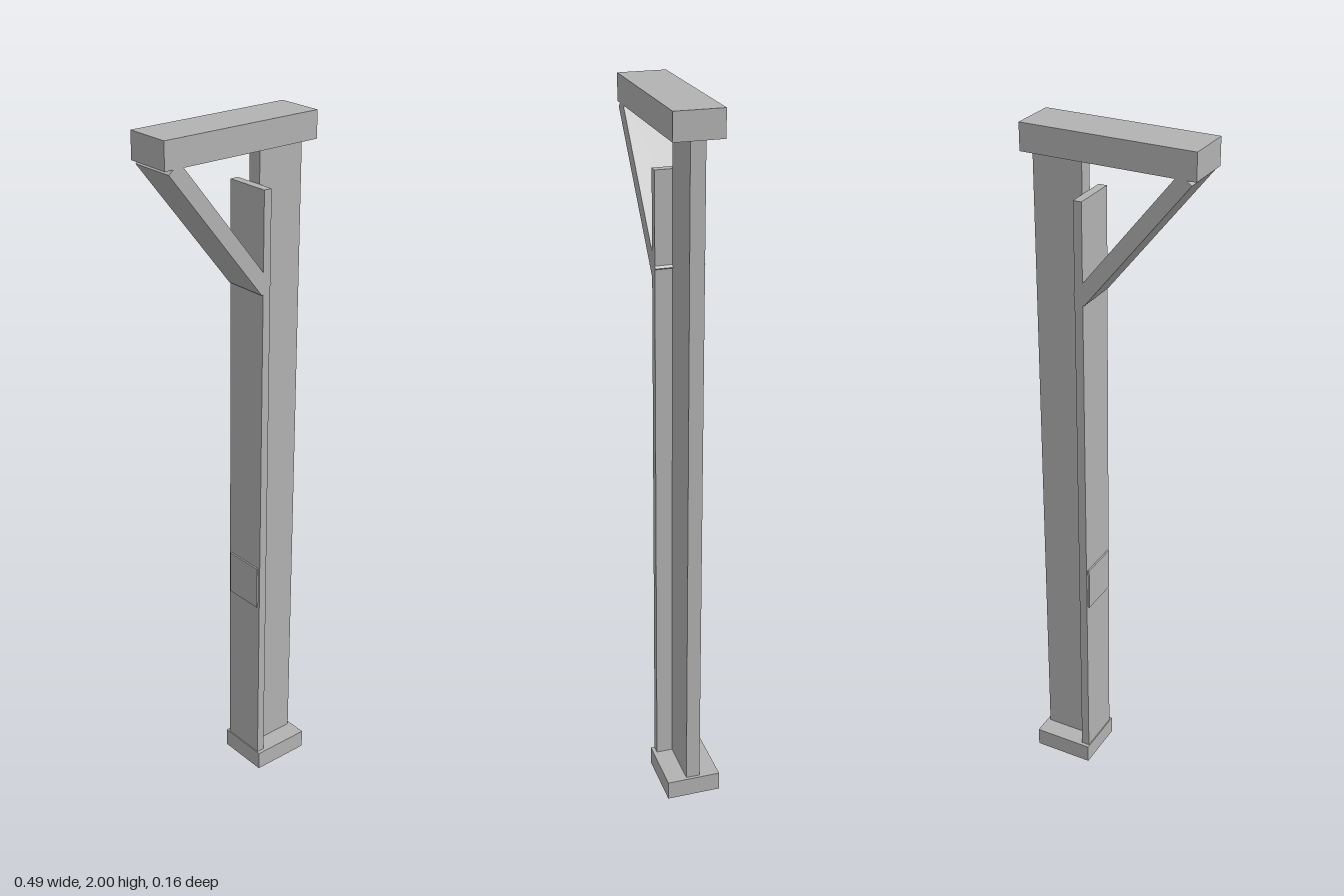
import * as THREE from 'three';

export function createModel() {
  const group = new THREE.Group();
  const paint = new THREE.MeshStandardMaterial({ color: 0xb2b2b2 });
  paint.name = 'light grey';

  // Box from x and y ranges, centred on z = 0
  function block(name, x0, x1, y0, y1, depth) {
    const mesh = new THREE.Mesh(new THREE.BoxGeometry(x1 - x0, y1 - y0, depth), paint);
    mesh.position.set((x0 + x1) / 2, (y0 + y1) / 2, 0);
    mesh.name = name;
    group.add(mesh);
  }

  block('base', 0.066, 0.243, 0, 0.056, 0.156);
  // T-section post: narrow web behind a wide flange
  block('postWeb', 0.093, 0.234, 0.056, 1.926, 0.04);
  block('postFlange', 0.069, 0.093, 0.056, 1.824, 0.134);
  block('coverPlate', 0.064, 0.069, 0.58, 0.71, 0.12);
  block('topBeam', -0.243, 0.243, 1.926, 2, 0.134);

  // Diagonal brace with square-cut ends, its upper end set into the beam
  const upper = new THREE.Vector2(-0.196, 1.942);
  const lower = new THREE.Vector2(0.0815, 1.5565);
  const along = lower.clone().sub(upper);
  // keep the slope of the brace edges
  const angle = Math.atan2(-1.257, 1);
  const length = along.length();
  const brace = new THREE.Mesh(new THREE.BoxGeometry(length, 0.042, 0.134), paint);
  brace.position.set(
    lower.x - (Math.cos(angle) * length) / 2,
    lower.y - (Math.sin(angle) * length) / 2,
    0
  );
  brace.rotation.z = angle;
  brace.name = 'brace';
  group.add(brace);

  return group;
}
